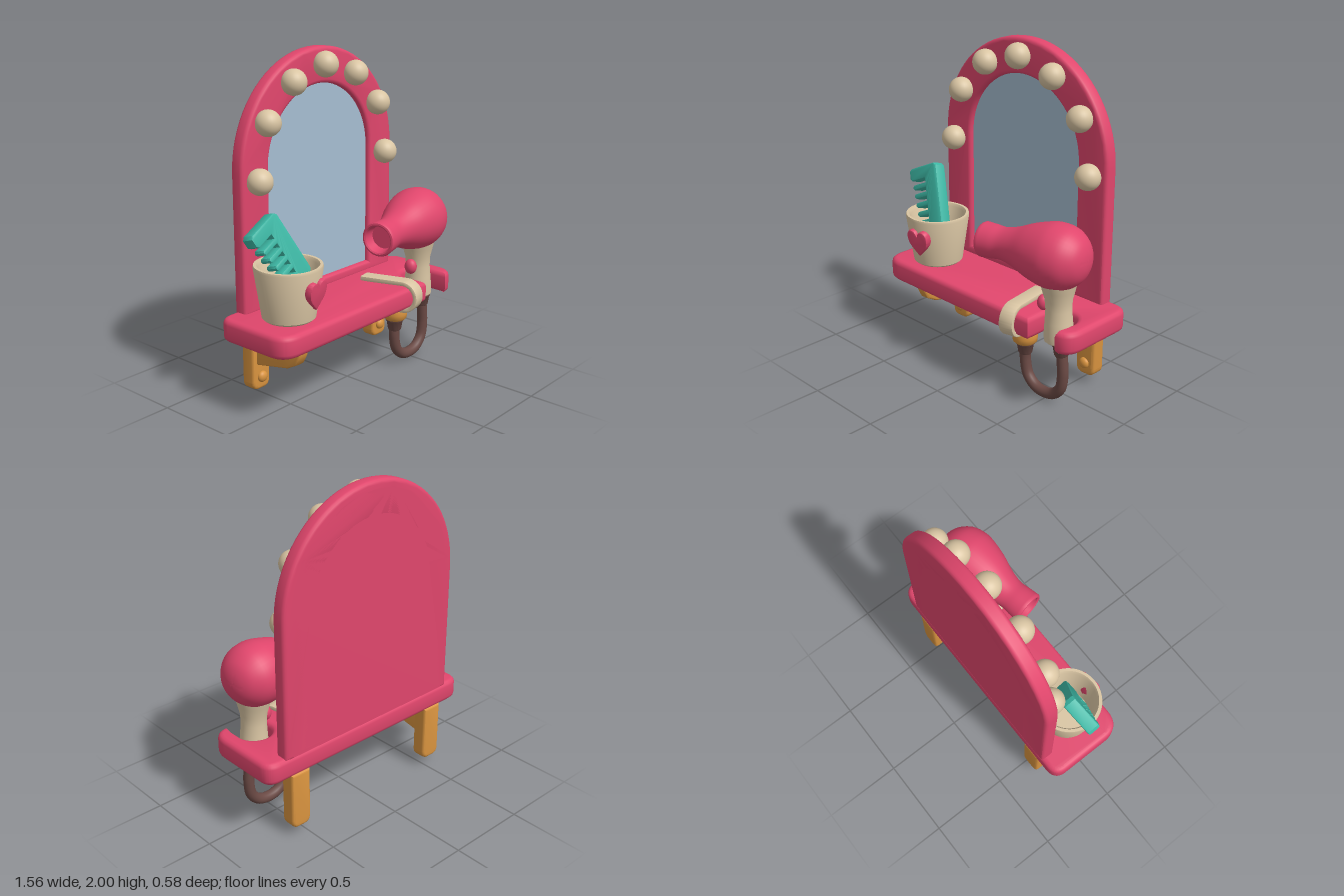
import * as THREE from 'three';
import { toCreasedNormals } from 'three/addons/utils/BufferGeometryUtils.js';

const mat = (name, color) => Object.assign(new THREE.MeshStandardMaterial({ color }), { name });

export function createModel() {
  const model = new THREE.Group();
  const pink = mat('pink', 0xe0466c);
  const cream = mat('cream', 0xd9c5a3);
  const wood = mat('wood', 0xd8933f);
  const teal = mat('teal', 0x3db8a5);
  const brown = mat('brown', 0x6a4944);
  const glass = mat('mirrorGlass', 0xa6bdd1);

  const add = (name, geo, material, x = 0, y = 0, z = 0) => {
    const mesh = new THREE.Mesh(geo, material);
    mesh.name = name;
    mesh.position.set(x, y, z);
    model.add(mesh);
    return mesh;
  };
  // Extruded plate with rounded edges that stays inside its outline and depth
  const plate = (shape, depth, bevel, steps = 3) => toCreasedNormals(
    new THREE.ExtrudeGeometry(shape, {
      depth: depth - 2 * bevel, bevelEnabled: bevel > 0, bevelThickness: bevel, bevelSize: bevel,
      bevelOffset: -bevel, bevelSegments: steps, curveSegments: 20,
    }).translate(0, 0, bevel), 0.7);
  const lathe = (pts, segs = 40) => toCreasedNormals(
    new THREE.LatheGeometry(pts.map(([r, y]) => new THREE.Vector2(r, y)), segs), 0.7);
  const polygon = (pts) => new THREE.Shape(pts.map(([x, y]) => new THREE.Vector2(x, y)));

  // Shelf with a slot in the front for the dryer handle
  const shelf = new THREE.Shape();
  shelf.moveTo(-0.65, -0.235);
  shelf.lineTo(0.475, -0.235);
  shelf.lineTo(0.475, -0.09);
  shelf.absarc(0.577, -0.09, 0.102, Math.PI, 0, true);
  shelf.lineTo(0.679, -0.235);
  shelf.quadraticCurveTo(0.78, -0.235, 0.78, -0.11);
  shelf.lineTo(0.78, 0.2);
  shelf.quadraticCurveTo(0.78, 0.285, 0.69, 0.285);
  shelf.lineTo(-0.69, 0.285);
  shelf.quadraticCurveTo(-0.78, 0.285, -0.78, 0.2);
  shelf.lineTo(-0.78, -0.11);
  shelf.quadraticCurveTo(-0.78, -0.235, -0.65, -0.235);
  add('shelf', plate(shelf, 0.135, 0.03).rotateX(-Math.PI / 2), pink, 0, 0.41, 0);

  // Arched mirror: frame, back board and glass
  const arch = (r, bottom, Type = THREE.Shape) => {
    const s = new Type();
    s.moveTo(-r, bottom);
    s.lineTo(r, bottom);
    s.lineTo(r, 1.35);
    s.absarc(0, 1.35, r, 0, Math.PI, false);
    s.closePath();
    return s;
  };
  const frame = arch(0.65, 0.53);
  frame.holes.push(arch(0.437, 0.595, THREE.Path));
  add('mirrorFrame', plate(frame, 0.09, 0.022), pink, 0, 0, -0.285);
  add('mirrorBack', plate(arch(0.6, 0.54), 0.05, 0), pink, 0, 0, -0.285);
  add('mirrorGlass', plate(arch(0.46, 0.575), 0.008, 0), glass, 0, 0, -0.235);

  // Light bulbs around the arch
  const bulb = new THREE.SphereGeometry(0.076, 28, 20);
  [[0, 1.9], [0.265, 1.825], [0.473, 1.623], [0.545, 1.305]].forEach(([x, y]) => {
    for (const side of x ? [-1, 1] : [1]) add('lightBulb', bulb, cream, side * x, y, -0.162);
  });

  // Wall brackets with screw heads, and the arm under the left-hand end
  const strut = new THREE.Shape();
  strut.moveTo(0.068, 0.42);
  strut.lineTo(-0.068, 0.42);
  strut.lineTo(-0.068, 0.11);
  strut.quadraticCurveTo(-0.068, 0.055, -0.02, 0.055);
  strut.lineTo(0.02, 0.055);
  strut.quadraticCurveTo(0.068, 0.055, 0.068, 0.11);
  strut.closePath();
  for (const x of [-0.54, 0.543]) {
    add('wallBracket', plate(strut, 0.095, 0.018), wood, x, 0, -0.285);
    add('screwHead', new THREE.SphereGeometry(0.034, 20, 14).scale(1, 1, 0.7), wood, x, 0.133, -0.187);
  }
  const arm = polygon([[-0.2, 0.42], [-0.2, 0.212], [0.05, 0.262], [0.12, 0.3], [0.15, 0.36], [0.15, 0.42]]);
  add('bracketArm', plate(arm, 0.075, 0.012).translate(0, 0, -0.0375).rotateY(-Math.PI / 2), wood, -0.54, 0, 0);

  // Cup with a heart on the front
  add('cup', lathe([[0, 0], [0.14, 0], [0.154, 0.012], [0.198, 0.305], [0.195, 0.318], [0.178, 0.318],
    [0.168, 0.3], [0.135, 0.03], [0, 0.03]], 48), cream, -0.515, 0.545, 0.015);
  const heart = new THREE.Shape();
  heart.moveTo(0, -0.088);
  heart.bezierCurveTo(0.03, -0.05, 0.078, -0.025, 0.078, 0.032);
  heart.bezierCurveTo(0.078, 0.1, 0.012, 0.1, 0, 0.045);
  heart.bezierCurveTo(-0.012, 0.1, -0.078, 0.1, -0.078, 0.032);
  heart.bezierCurveTo(-0.078, -0.025, -0.03, -0.05, 0, -0.088);
  add('heart', plate(heart, 0.05, 0.008, 2), pink, -0.49, 0.72, 0.165).rotation.set(0.15, 0.13, 0);

  // Comb leaning in the cup: spine on the right, teeth on the left
  const outline = [[-0.02, 0], [-0.22, 0], [-0.24, -0.015], [-0.24, -0.065], [-0.225, -0.08], [-0.11, -0.08]];
  for (let i = 0; i < 5; i++) {
    const y = -0.108 - i * 0.058;
    const tip = -0.222 + i * 0.006;
    outline.push([-0.11, y], [tip + 0.01, y], [tip, y - 0.01], [tip, y - 0.022], [tip + 0.01, y - 0.032], [-0.11, y - 0.032]);
  }
  outline.push([-0.11, -0.43], [-0.03, -0.43], [0, -0.39], [0, -0.02]);
  add('comb', plate(polygon(outline), 0.08, 0.009, 2).translate(0, 0, -0.04), teal, -0.57, 1.16, -0.06)
    .rotation.set(-0.3, 0, 0.44);

  // Hair dryer body, turned about its nozzle axis
  const side = new THREE.SplineCurve([[0.105, 0.012], [0.1, 0.08], [0.096, 0.15], [0.118, 0.24], [0.157, 0.34],
    [0.184, 0.44], [0.19, 0.51], [0.172, 0.59], [0.12, 0.655], [0.06, 0.685], [0, 0.693]]
    .map(([r, y]) => new THREE.Vector2(r, y))).getPoints(40).map((p) => [Math.max(p.x, 0), p.y]);
  const body = add('dryerBody', lathe([[0, 0.07], [0.072, 0.07], [0.082, 0.006], [0.09, 0], [0.1, 0.002], ...side]),
    pink, 0.065, 0.898, 0.178);
  body.quaternion.setFromUnitVectors(new THREE.Vector3(0, 1, 0), new THREE.Vector3(0.49, 0.014, -0.09).normalize());

  // Dryer handle and trigger
  const handle = add('dryerHandle', lathe([[0, 0], [0.07, 0], [0.084, 0.012], [0.086, 0.05], [0.08, 0.13], [0.075, 0.2],
    [0.079, 0.26], [0.095, 0.32], [0.11, 0.38], [0, 0.4]]), cream, 0.584, 0.4, 0.092);
  handle.rotation.z = 0.03;
  add('dryerTrigger', new THREE.SphereGeometry(0.04, 20, 16).scale(0.9, 1.2, 1), pink, 0.48, 0.615, 0.11);

  // Strap over the shelf edge
  const strap = new THREE.Shape();
  strap.moveTo(-0.1, 0.54);
  strap.lineTo(-0.1, 0.57);
  strap.lineTo(0.19, 0.583);
  strap.absarc(0.19, 0.483, 0.1, Math.PI / 2, -Math.PI / 2, true);
  strap.lineTo(0.08, 0.383);
  strap.lineTo(0.08, 0.41);
  strap.lineTo(0.19, 0.41);
  strap.absarc(0.19, 0.483, 0.073, -Math.PI / 2, Math.PI / 2, false);
  strap.closePath();
  add('strap', plate(strap, 0.092, 0.006, 2).translate(0, 0, -0.046), cream, 0.292, 0, 0).rotation.y = -1.38;

  // Plug, cable and cable collars
  add('plug', lathe([[0, 0], [0.058, 0], [0.072, 0.014], [0.075, 0.04], [0.075, 0.075], [0.066, 0.092], [0, 0.095]]),
    wood, 0.335, 0.308, 0.105);
  const collar = lathe([[0, 0], [0.036, 0], [0.042, 0.01], [0.05, 0.06], [0.056, 0.066], [0.056, 0.09], [0, 0.095]], 28);
  add('plugCollar', collar, brown, 0.335, 0.235, 0.102);
  add('handleCollar', collar, brown, 0.612, 0.322, 0.1);
  const path = new THREE.CatmullRomCurve3([[0.335, 0.27], [0.335, 0.19], [0.358, 0.1], [0.415, 0.048], [0.488, 0.034],
    [0.56, 0.053], [0.612, 0.11], [0.627, 0.2], [0.622, 0.28], [0.612, 0.36]]
    .map(([x, y]) => new THREE.Vector3(x, y, 0.1)));
  add('cable', new THREE.TubeGeometry(path, 64, 0.033, 16), brown);

  return model;
}
